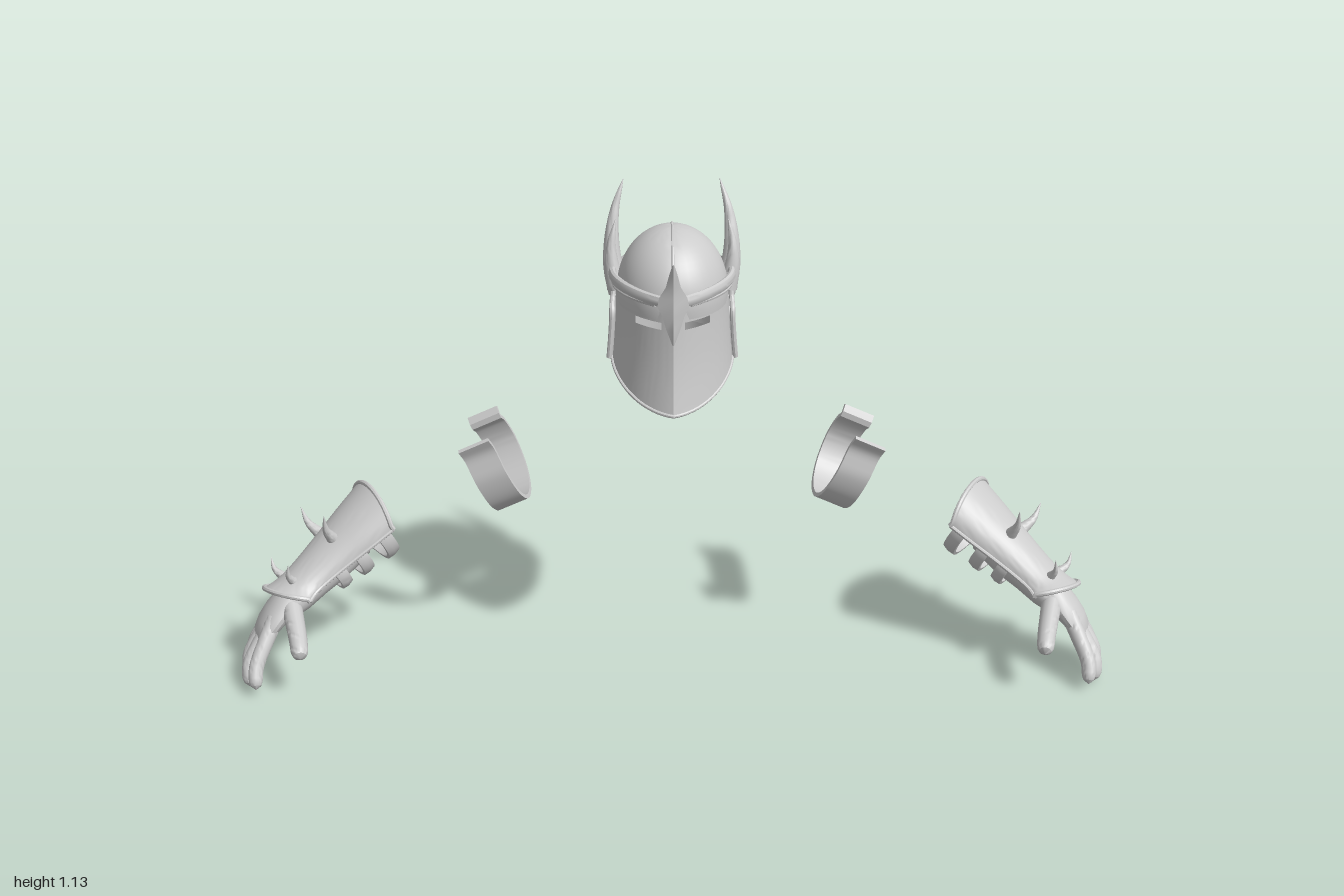
import * as THREE from 'three';
import { toCreasedNormals } from 'three/addons/utils/BufferGeometryUtils.js';

const V = (x, y, z) => new THREE.Vector3(x, y, z);
const { sin, cos, abs, sqrt, PI, max, min } = Math;
const lerp = THREE.MathUtils.lerp, smooth = THREE.MathUtils.smoothstep;
const mat = new THREE.MeshStandardMaterial({ color: 0xcccccc, side: THREE.DoubleSide });
const range = (n, a, b) => Array.from({ length: n + 1 }, (_, i) => lerp(a, b, i / n));

// Surface patch through fn(u, v); skip(u, v) leaves openings
function grid(us, vs, fn, skip = () => false) {
  const pos = [], idx = [], n = us.length;
  for (const v of vs) for (const u of us) pos.push(...fn(u, v).toArray());
  for (let j = 0; j < vs.length - 1; j++) for (let i = 0; i < n - 1; i++) {
    if (skip((us[i] + us[i + 1]) / 2, (vs[j] + vs[j + 1]) / 2)) continue;
    const a = j * n + i;
    idx.push(a, a + 1, a + n + 1, a, a + n + 1, a + n);
  }
  const g = new THREE.BufferGeometry();
  g.setAttribute('position', new THREE.Float32BufferAttribute(pos, 3));
  g.setIndex(idx);
  return g;
}

// Closed loft through elliptical sections [centre, half axis u, half axis v]
function loft(secs, n = 14) {
  const dir = secs[secs.length - 1][0].clone().sub(secs[0][0]);
  const m = secs[secs.length >> 1];
  const s = m[1].clone().cross(m[2]).dot(dir) < 0 ? -1 : 1;
  const zero = V(0, 0, 0);
  const all = [[secs[0][0], zero, zero], ...secs, [secs[secs.length - 1][0], zero, zero]];
  return grid(range(n, 0, 2 * PI), all.map((_, i) => i), (a, j) =>
    all[j][0].clone().addScaledVector(all[j][1], cos(a)).addScaledVector(all[j][2], s * sin(a)));
}

// Round limb along a curve with a varying radius
function limb(points, radius, segs = 12, n = 14) {
  const c = new THREE.CatmullRomCurve3(points), f = c.computeFrenetFrames(segs);
  return loft(range(segs, 0, 1).map((t, i) => [c.getPointAt(t),
    f.normals[i].clone().multiplyScalar(radius(t)), f.binormals[i].clone().multiplyScalar(radius(t))]), n);
}
const spike = (pts, r) => limb(pts, t => r * (1 - t) + 0.0005);
const finger = (r, pts) => limb(pts, t => r * (1 - 0.2 * t) * sqrt(max(0.002, 1 - max(0, (t - 0.85) / 0.15) ** 2)), 20);
const rim = (pts, r) => limb(pts, () => r, 40, 8);

// Adds a mesh; side -1 mirrors it to the other side
function add(group, name, geo, matrix, side = 1) {
  const src = geo.index ? geo.toNonIndexed() : geo;
  const g = new THREE.BufferGeometry();
  g.setAttribute('position', src.attributes.position.clone());
  if (matrix) g.applyMatrix4(matrix);
  if (side < 0) {
    g.scale(-1, 1, 1);
    const p = g.attributes.position;
    for (let i = 0; i < p.count; i += 3) {
      const a = V().fromBufferAttribute(p, i + 1), b = V().fromBufferAttribute(p, i + 2);
      p.setXYZ(i + 1, b.x, b.y, b.z).setXYZ(i + 2, a.x, a.y, a.z);
    }
  }
  const mesh = new THREE.Mesh(toCreasedNormals(g, 0.56), mat);
  mesh.name = name;
  group.add(mesh);
}

// Helmet wall: t = 0 is the front ridge, PI the back
function wall(t, y, off = 0) {
  const k = (0.955 - y) / 0.26, c = cos(t), s = sin(t);
  const a = 0.124 + 0.018 * k * k + off;
  const z = c > 0 ? (0.157 + 0.033 * k * k + off) * (0.72 * c + 0.28 * (1 - abs(s))) : (0.14 + off) * c;
  return V(a * s, y, z);
}

function createHelmet() {
  const h = new THREE.Group();
  h.name = 'helmet';
  // Skull dome with a fine ridge
  add(h, 'dome', new THREE.SphereGeometry(1, 40, 16, 0, 2 * PI, 0, 1.7).scale(0.123, 0.145, 0.146).translate(0, 0.92, 0.003));
  add(h, 'domeRidge', rim(range(16, -0.1, PI + 0.1).map(a => V(0, 0.92 + 0.145 * sin(a), 0.003 + 0.146 * cos(a))), 0.003));
  // Face plate with two eye slits
  const bottom = t => 0.767 - 0.072 * max(0, cos(t)) ** 1.3;
  const rows = [0, 0.25, 0.5, 0.75, 1, 1.3, 1.5, 1.75, 2];
  const faceY = (t, v) => v <= 1 ? lerp(bottom(t), 0.88, v) : v <= 1.3 ? lerp(0.88, 0.896, (v - 1) / 0.3) : lerp(0.896, 0.955, (v - 1.3) / 0.7);
  add(h, 'facePlate', grid(range(72, -1.8, 1.8), rows, (t, v) => wall(t, faceY(t, v)),
    (t, v) => v > 1 && v < 1.3 && abs(t) > 0.2 && abs(t) < 0.7));
  add(h, 'faceEdge', rim(range(40, -1.5, 1.5).map(t => wall(t, bottom(t), 0.001)), 0.004));
  // Rear shell, collar and overlapping neck bands
  add(h, 'rearShell', grid(range(40, 1.4, 2 * PI - 1.4), range(6, 0.775, 0.955), (t, y) => wall(t, y, y > 0.92 ? -0.008 : -0.002)));
  add(h, 'collar', grid(range(48, 0.8, 2 * PI - 0.8), [0, 0.5, 1], (t, v) =>
    wall(t, lerp(0.737 - 0.03 * smooth(cos(t), -0.2, 0.5), 0.8, v), -0.022)));
  [[0.78, 0.832, 0.006], [0.828, 0.876, 0.003], [0.872, 0.915, 0]].forEach(([y0, y1, e]) =>
    add(h, 'neckBand', grid(range(32, 2, 2 * PI - 2), [-1, 0, 0.15, 0.6, 1, 2], (t, v) =>
      wall(t, lerp(y0, y1, min(1, max(0, v))), v < 0 || v > 1 ? -0.004 : lerp(0.008, 0.001, v) + e))));
  // Brow band and nose crest
  add(h, 'browBand', loft(range(40, -1.75, 1.75).map(t => [wall(t, 0.944 + 0.012 * abs(sin(t)), 0.007),
    V(0, 0.013, 0), V(sin(t) * 0.009, 0, cos(t) * 0.009)]), 10));
  const crest = [[1.04, 0.002, 0.184, 0.003], [1.015, 0.009, 0.178, 0.006], [0.985, 0.016, 0.17, 0.009], [0.96, 0.03, 0.166, 0.012],
    [0.94, 0.034, 0.167, 0.012], [0.92, 0.024, 0.169, 0.011], [0.89, 0.015, 0.173, 0.009], [0.856, 0.002, 0.178, 0.003]];
  add(h, 'noseCrest', loft(crest.map(([y, w, z, d]) => [V(0, y, z), V(w, 0, 0), V(0, 0, d)]), 4));
  // Cheek plates with raised rims, and a pair of horns on each side
  const edge = y => 1.46 + 0.27 * smooth(y, 0.868, 0.9);
  for (const s of [1, -1]) {
    add(h, 'cheekPlate', grid([-0.01, ...range(10, 0, 1), 1.01], range(24, 0.762, 0.955), (u, y) =>
      wall(lerp(edge(y), 2.25, min(1, max(0, u))), lerp(y, y + 0.015 * u, smooth(y, 0.85, 0.77)), u < 0 || u > 1 ? 0 : 0.007)), null, s);
    const path = [...range(10, 0.762, 0.925).map(y => wall(edge(y), y, 0.008)),
      ...range(10, 1.62, 0.3).map(t => wall(t, 0.937, 0.004))];
    add(h, 'cheekRim', rim(path, 0.006), null, s);
    add(h, 'cheekLowerRim', rim(range(8, 1.46, 2.25).map(t => wall(t, lerp(0.763, 0.777, (t - 1.46) / 0.79), 0.006)), 0.005), null, s);
    add(h, 'rearHorn', limb([V(0.115, 0.89, -0.062), V(0.13, 0.94, -0.074), V(0.134, 1, -0.086), V(0.126, 1.07, -0.106), V(0.107, 1.132, -0.126)],
      t => 0.027 * (1 - t) ** 0.8 + 0.0005), null, s);
    add(h, 'frontHorn', limb([V(0.122, 0.915, -0.018), V(0.132, 0.96, -0.022), V(0.134, 1.01, -0.03), V(0.124, 1.065, -0.042)],
      t => 0.022 * (1 - t) ** 0.8 + 0.0005), null, s);
  }
  return h;
}

// Open arm band: a curved ribbon with flared ends
function createArmBand(side) {
  const g = new THREE.Group();
  g.name = side > 0 ? 'leftArmBand' : 'rightArmBand';
  const curve = new THREE.CatmullRomCurve3([[0.112, 0.205], [0.1, 0.175], [0.108, 0.11], [0.088, 0.045], [0.047, 0.01], [0, 0],
    [-0.047, 0.008], [-0.093, 0.04], [-0.12, 0.1], [-0.105, 0.155], [-0.088, 0.172], [-0.1, 0.193]].map(p => V(p[0], p[1], 0)));
  const outline = o => range(60, 0, 1).map(t => {
    const p = curve.getPointAt(t), d = curve.getTangentAt(t);
    return new THREE.Vector2(p.x - d.y * o, p.y + d.x * o);
  });
  const shape = new THREE.Shape([...outline(-0.005), ...outline(0.005).reverse()]);
  const m = new THREE.Matrix4().makeBasis(V(0, 0, 1), V(0.41, 0.912, 0), V(-0.912, 0.41, 0)).setPosition(0.37, 0.353, -0.11);
  add(g, 'band', new THREE.ExtrudeGeometry(shape, { depth: 0.076, bevelEnabled: false }).translate(0, 0, -0.038), m, side);
  return g;
}

function createGauntlet(side) {
  const g = new THREE.Group();
  g.name = side > 0 ? 'leftGauntlet' : 'rightGauntlet';
  // Forearm frame: x across, y towards the back of the hand, z to the wrist
  const A = V(0.685, -0.484, 0.544).normalize();
  const B = V(0.459, -0.295, -0.838).addScaledVector(A, -0.01).normalize();
  const m = new THREE.Matrix4().makeBasis(B, A.clone().cross(B), A).setPosition(0.705, 0.31, -0.08);
  // Half-round cuff, flared at both ends
  const prof = new THREE.CatmullRomCurve3([V(0.12, 0.085, 0), V(0.106, 0.076, 0.06), V(0.088, 0.064, 0.13),
    V(0.077, 0.053, 0.2), V(0.08, 0.051, 0.23), V(0.092, 0.056, 0.25)]);
  const cuff = (a, v) => {
    const p = prof.getPoint(v);
    return V(p.x * cos(a), p.y * sin(a), p.z + lerp(-0.038, 0.045, v) * max(0, sin(a)));
  };
  const arc = range(30, -0.12, PI + 0.12);
  add(g, 'cuff', grid(arc, range(14, 0, 1), cuff), m, side);
  for (const v of [0, 1]) add(g, 'cuffRim', rim(arc.map(a => cuff(a, v)), 0.006), m, side);
  for (const a of [arc[0], arc[30]]) add(g, 'cuffSideRim', rim(range(10, 0, 1).map(v => cuff(a, v)), 0.005), m, side);
  // Curved spikes in two rows
  for (const s of [-1, 1]) for (const [a, v, len, r] of [[0.98, 0.36, 0.075, 0.015], [0.98, 0.74, 0.05, 0.011]]) {
    const p = cuff(PI / 2 - s * (PI / 2 - a), v), n = V(s * 0.5, 0.85, 0);
    const at = (k, z) => p.clone().addScaledVector(n, k * len).add(V(0, 0, z));
    add(g, 'spike', spike([at(-0.1, 0), at(0.45, 0.002), at(1, -0.012)], r), m, side);
  }
  // Forearm rings and inner sleeve
  [[0.005, 0.086, 0.032], [0.075, 0.074, 0.03], [0.135, 0.062, 0.028]].forEach(([z, r, w]) => {
    const pts = [[r - 0.009, 0], [r, 0], [r + 0.003, w / 2], [r, w], [r - 0.009, w], [r - 0.009, 0]].map(p => new THREE.Vector2(...p));
    add(g, 'forearmRing', new THREE.LatheGeometry(pts, 36).rotateX(PI / 2).scale(1, 0.92, -1).scale(1, 1, -1).translate(0, -0.012, z), m, side);
  });
  const sleeve = [[0.06, 0.048], [0.1, 0.052], [0.14, 0.053], [0.2, 0.047], [0.25, 0.045], [0.275, 0.04]];
  add(g, 'sleeve', loft(sleeve.map(([z, r]) => [V(0, -0.008, z), V(r, 0, 0), V(0, r * 0.85, 0)]), 20), m, side);
  // Gloved hand
  const across = V(0.28, -0.12, -0.95).normalize(), thick = V(0.84, 0.5, 0.18).normalize();
  const palm = [[0.868, 0.205, 0.043, 0.042, 0.034], [0.893, 0.178, 0.058, 0.05, 0.034], [0.918, 0.152, 0.07, 0.06, 0.031],
    [0.94, 0.126, 0.082, 0.063, 0.026], [0.955, 0.104, 0.091, 0.058, 0.02], [0.962, 0.092, 0.095, 0.05, 0.01]];
  add(g, 'palm', loft(palm.map(([x, y, z, w, d]) => [V(x, y, z), across.clone().multiplyScalar(w), thick.clone().multiplyScalar(d)]), 20), m && null, side);
  const fingers = [
    [V(0.92, 0.15, 0.105), V(0.938, 0.112, 0.139), V(0.958, 0.062, 0.18), V(0.957, 0.022, 0.209)],
    [V(0.925, 0.14, 0.09), V(0.953, 0.1, 0.113), V(0.98, 0.05, 0.146), V(0.979, 0.007, 0.169)],
    [V(0.925, 0.14, 0.07), V(0.962, 0.095, 0.083), V(0.988, 0.048, 0.103), V(0.987, 0.003, 0.116)],
    [V(0.92, 0.15, 0.045), V(0.96, 0.1, 0.046), V(0.986, 0.056, 0.057), V(0.985, 0.013, 0.065)]];
  fingers.forEach((pts, i) => add(g, 'finger', finger(i === 3 ? 0.018 : 0.02, pts), null, side));
  add(g, 'thumb', finger(0.024, [V(0.885, 0.175, 0.08), V(0.872, 0.158, 0.125), V(0.857, 0.138, 0.178), V(0.845, 0.115, 0.23)]), null, side);
  return g;
}

export function createModel() {
  const model = new THREE.Group();
  model.name = 'armourSet';
  model.add(createHelmet());
  for (const s of [1, -1]) model.add(createArmBand(s), createGauntlet(s));
  return model;
}
